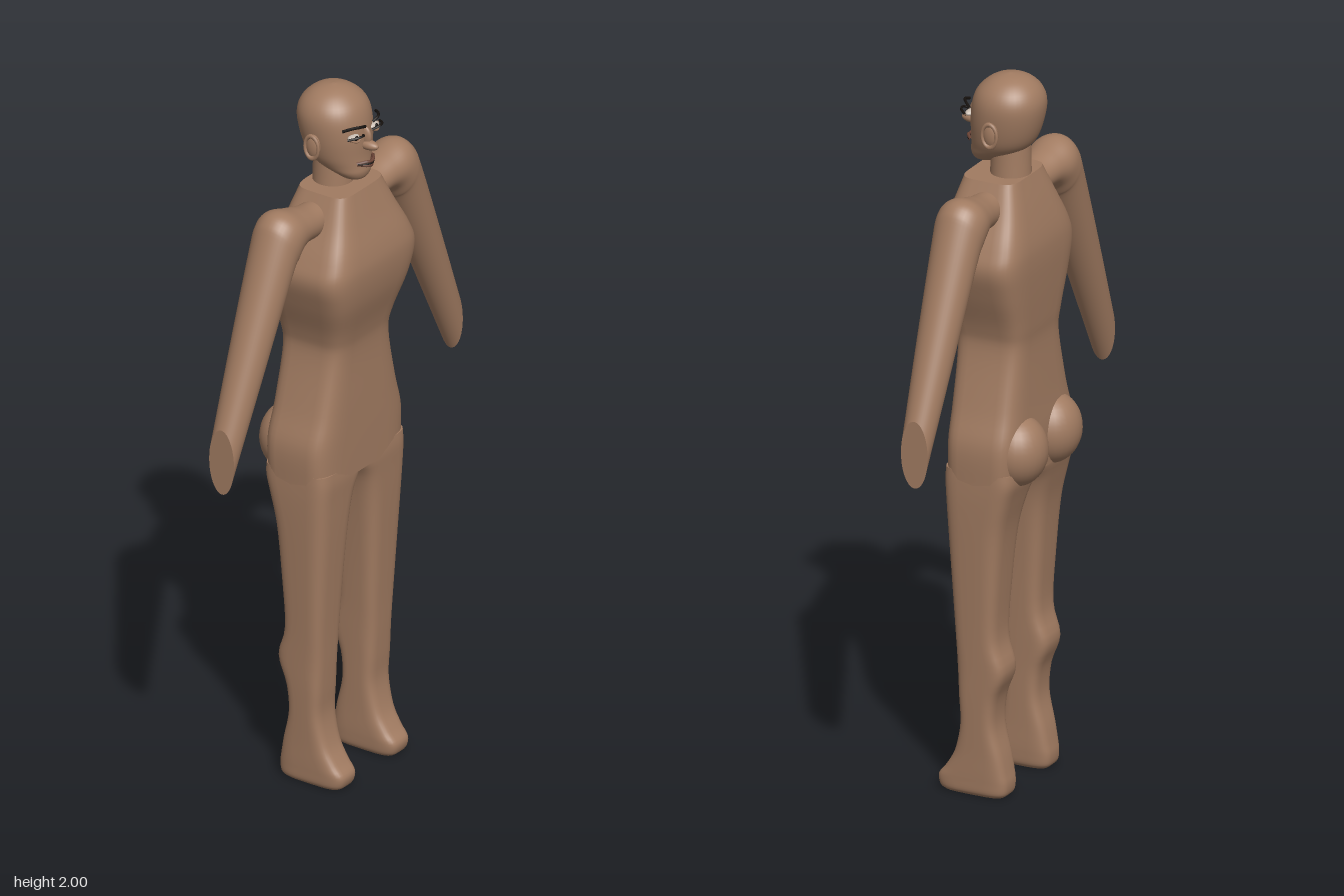
import * as THREE from 'three';

const mat = (name, color) => {
  const m = new THREE.MeshStandardMaterial({ color });
  m.name = name;
  return m;
};
const SIDES = 40;

// Smoothly resample rows of key values down their length
function smooth(keys, steps) {
  const out = [];
  const n = keys.length;
  for (let i = 0; i < n - 1; i++) {
    const [a, b, c, d] = [keys[Math.max(i - 1, 0)], keys[i], keys[i + 1], keys[Math.min(i + 2, n - 1)]];
    for (let k = 0; k < steps; k++) {
      const t = k / steps;
      out.push(b.map((v, j) => {
        const cubic = 3 * (v - c[j]) + d[j] - a[j];
        const square = 2 * a[j] - 5 * v + 4 * c[j] - d[j];
        return v + 0.5 * t * (c[j] - a[j] + t * (square + t * cubic));
      }));
    }
  }
  out.push(keys[n - 1]);
  return out;
}

// Skin a list of closed rings, with flat end caps
function loft(rings) {
  const pos = [], idx = [], n = SIDES;
  rings.forEach(r => r.forEach(p => pos.push(p.x, p.y, p.z)));
  for (let i = 0; i < rings.length - 1; i++) {
    for (let j = 0; j < n; j++) {
      const a = i * n + j, b = i * n + (j + 1) % n;
      idx.push(a, a + n, b, b, a + n, b + n);
    }
  }
  [rings[0], rings[rings.length - 1]].forEach((r, end) => {
    const base = pos.length / 3;
    const mid = r.reduce((s, p) => s.add(p), new THREE.Vector3()).divideScalar(n);
    [...r, mid].forEach(p => pos.push(p.x, p.y, p.z));
    for (let j = 0; j < n; j++) {
      const a = base + j, b = base + (j + 1) % n;
      idx.push(base + n, ...(end ? [b, a] : [a, b]));
    }
  });
  const g = new THREE.BufferGeometry();
  g.setAttribute('position', new THREE.Float32BufferAttribute(pos, 3));
  g.setIndex(idx);
  g.computeVertexNormals();
  return g;
}

// Rounded-box ring at height y
function levelRing([y, x0, x1, z0, z1, e]) {
  const f = v => Math.sign(v) * Math.pow(Math.abs(v), 2 / e);
  return Array.from({ length: SIDES }, (_, j) => {
    const t = j / SIDES * Math.PI * 2;
    const x = (x0 + x1) / 2 + (x1 - x0) / 2 * f(Math.cos(t));
    const z = (z0 + z1) / 2 + (z1 - z0) / 2 * f(Math.sin(t));
    return new THREE.Vector3(x, y, z);
  });
}

// Arm ring spanning an upper and a lower point
function armRing([xt, yt, xb, yb, zc, zh], side) {
  return Array.from({ length: SIDES }, (_, j) => {
    const t = j / SIDES * Math.PI * 2, c = Math.cos(t);
    const x = (xt + xb) / 2 + (xt - xb) / 2 * c;
    const y = (yt + yb) / 2 + (yt - yb) / 2 * c;
    return new THREE.Vector3(side * x, y, zc - side * zh * Math.sin(t));
  });
}

export function createModel() {
  const model = new THREE.Group();
  model.name = 'figure';
  const skin = mat('skin', 0xa17b61);
  const dark = mat('lashBlack', 0x17120f);
  const white = mat('eyeWhite', 0xc9bdb2);
  const lip = mat('lipBrown', 0x6e4638);
  const add = (name, geo, m, x = 0, y = 0, z = 0, sx = 1, sy = 1, sz = 1) => {
    const mesh = new THREE.Mesh(geo, m);
    mesh.name = name;
    mesh.position.set(x, y, z);
    mesh.scale.set(sx, sy, sz);
    model.add(mesh);
    return mesh;
  };
  const ball = new THREE.SphereGeometry(1, 28, 20);
  const tube = (pts, r) => {
    const curve = new THREE.CatmullRomCurve3(pts.map(p => new THREE.Vector3(...p)));
    return new THREE.TubeGeometry(curve, 14, r, 6);
  };

  // Torso: height, half width, back, front
  const torso = [
    [0.895, 0.2, -0.1, 0.104], [1.0, 0.2, -0.105, 0.105], [1.1, 0.17, -0.1, 0.105],
    [1.25, 0.135, -0.095, 0.105], [1.32, 0.142, -0.1, 0.116], [1.42, 0.178, -0.107, 0.145],
    [1.5, 0.199, -0.11, 0.155], [1.56, 0.18, -0.105, 0.148], [1.64, 0.138, -0.085, 0.124],
    [1.72, 0.1, -0.06, 0.1],
  ];
  add('torso', loft(smooth(torso, 5).map(([y, w, b, f]) => levelRing([y, -w, w, b, f, 5]))), skin);

  // Neck and head: height, half width, back, front
  const neck = [[1.66, 0.06], [1.72, 0.055], [1.8, 0.053]];
  add('neck', loft(neck.map(([y, w]) => levelRing([y, -w, w, -w - 0.003, w - 0.003, 2]))), skin);
  const head = [
    [1.745, 0.018, 0.055, 0.085], [1.752, 0.036, 0.035, 0.1], [1.77, 0.056, 0, 0.107],
    [1.79, 0.07, -0.045, 0.106], [1.82, 0.084, -0.072, 0.104], [1.87, 0.095, -0.09, 0.104],
    [1.92, 0.098, -0.097, 0.098], [1.955, 0.087, -0.087, 0.084], [1.98, 0.063, -0.064, 0.058],
    [1.994, 0.034, -0.036, 0.03], [2.0, 0.004, -0.005, 0.003],
  ];
  add('head', loft(smooth(head, 4).map(([y, w, b, f]) => levelRing([y, -w, w, b, f, 2.1]))), skin);

  // Nose and mouth
  add('noseBridge', ball, skin, 0, 1.872, 0.1, 0.01, 0.03, 0.02);
  add('noseTip', ball, skin, 0, 1.85, 0.108, 0.016, 0.014, 0.035);
  add('upperLip', tube([[-0.036, 1.803, 0.098], [-0.012, 1.807, 0.118], [0, 1.804, 0.12],
    [0.012, 1.807, 0.118], [0.036, 1.803, 0.098]], 0.0045), lip);
  add('lowerLip', tube([[-0.034, 1.801, 0.098], [0, 1.792, 0.118], [0.034, 1.801, 0.098]], 0.005), lip);
  add('mouthLine', tube([[-0.037, 1.803, 0.102], [0, 1.799, 0.122], [0.037, 1.803, 0.102]], 0.0025), dark);

  // Legs: height, inner, outer, back, front, squareness
  const leg = [
    [0, 0.084, 0.158, -0.055, 0.118, 4], [0.012, 0.074, 0.168, -0.067, 0.131, 4],
    [0.04, 0.071, 0.17, -0.07, 0.135, 4], [0.07, 0.07, 0.171, -0.065, 0.112, 4],
    [0.12, 0.07, 0.172, -0.055, 0.084, 4], [0.2, 0.069, 0.175, -0.036, 0.066, 4],
    [0.28, 0.068, 0.178, -0.042, 0.069, 4], [0.36, 0.066, 0.18, -0.068, 0.073, 4],
    [0.45, 0.063, 0.183, -0.045, 0.077, 4], [0.6, 0.055, 0.19, -0.052, 0.086, 4],
    [0.75, 0.042, 0.197, -0.066, 0.096, 4], [0.84, 0.026, 0.2, -0.085, 0.101, 4.5],
    [0.895, 0, 0.2, -0.099, 0.104, 5], [0.93, 0, 0.199, -0.098, 0.102, 5],
  ];
  // Arms: upper point, lower point, depth centre, half depth
  const arm = [
    [0.07, 1.695, 0.09, 1.6, 0.01, 0.045], [0.14, 1.698, 0.15, 1.605, 0.01, 0.052],
    [0.2, 1.713, 0.19, 1.607, 0.008, 0.06], [0.26, 1.729, 0.215, 1.596, 0.006, 0.069],
    [0.302, 1.712, 0.233, 1.572, 0.006, 0.07], [0.335, 1.652, 0.26, 1.53, 0.006, 0.066],
    [0.43, 1.42, 0.385, 1.275, 0.006, 0.054], [0.522, 1.19, 0.52, 1.0, 0.006, 0.04],
  ];

  for (const s of [1, -1]) {
    const side = s > 0 ? 'left' : 'right';
    const legRings = smooth(leg, 4).map(([y, i, o, b, f, e]) =>
      levelRing(s > 0 ? [y, i, o, b, f, e] : [y, -o, -i, b, f, e]));
    add(side + 'Leg', loft(legRings), skin);
    add(side + 'Buttock', ball, skin, s * 0.094, 0.975, -0.072, 0.088, 0.098, 0.083);
    add(side + 'Arm', loft(smooth(arm, 6).map(k => armRing(k, s))), skin);

    // Ear with raised rim
    add(side + 'Ear', ball, skin, s * 0.1, 1.855, 0.004, 0.012, 0.034, 0.022);
    add(side + 'EarRim', new THREE.TorusGeometry(0.024, 0.005, 8, 24), skin,
      s * 0.108, 1.855, 0.004, 0.9, 1.35, 1).rotation.y = Math.PI / 2;

    // Eye, lids, lashes and brow
    add(side + 'Eye', ball, white, s * 0.045, 1.885, 0.094, 0.02, 0.008, 0.012);
    add(side + 'Iris', ball, dark, s * 0.045, 1.885, 0.104, 0.007, 0.007, 0.004);
    add(side + 'LowerLid', tube([[s * 0.021, 1.884, 0.106], [s * 0.045, 1.876, 0.109],
      [s * 0.069, 1.885, 0.092]], 0.003), skin);
    add(side + 'UpperLashes', tube([[s * 0.02, 1.885, 0.108], [s * 0.035, 1.893, 0.12],
      [s * 0.055, 1.893, 0.116], [s * 0.073, 1.887, 0.095]], 0.0035), dark);
    add(side + 'Brow', tube([[s * 0.016, 1.911, 0.112], [s * 0.04, 1.918, 0.113],
      [s * 0.06, 1.917, 0.099], [s * 0.076, 1.91, 0.08]], 0.004), dark);
  }
  return model;
}
